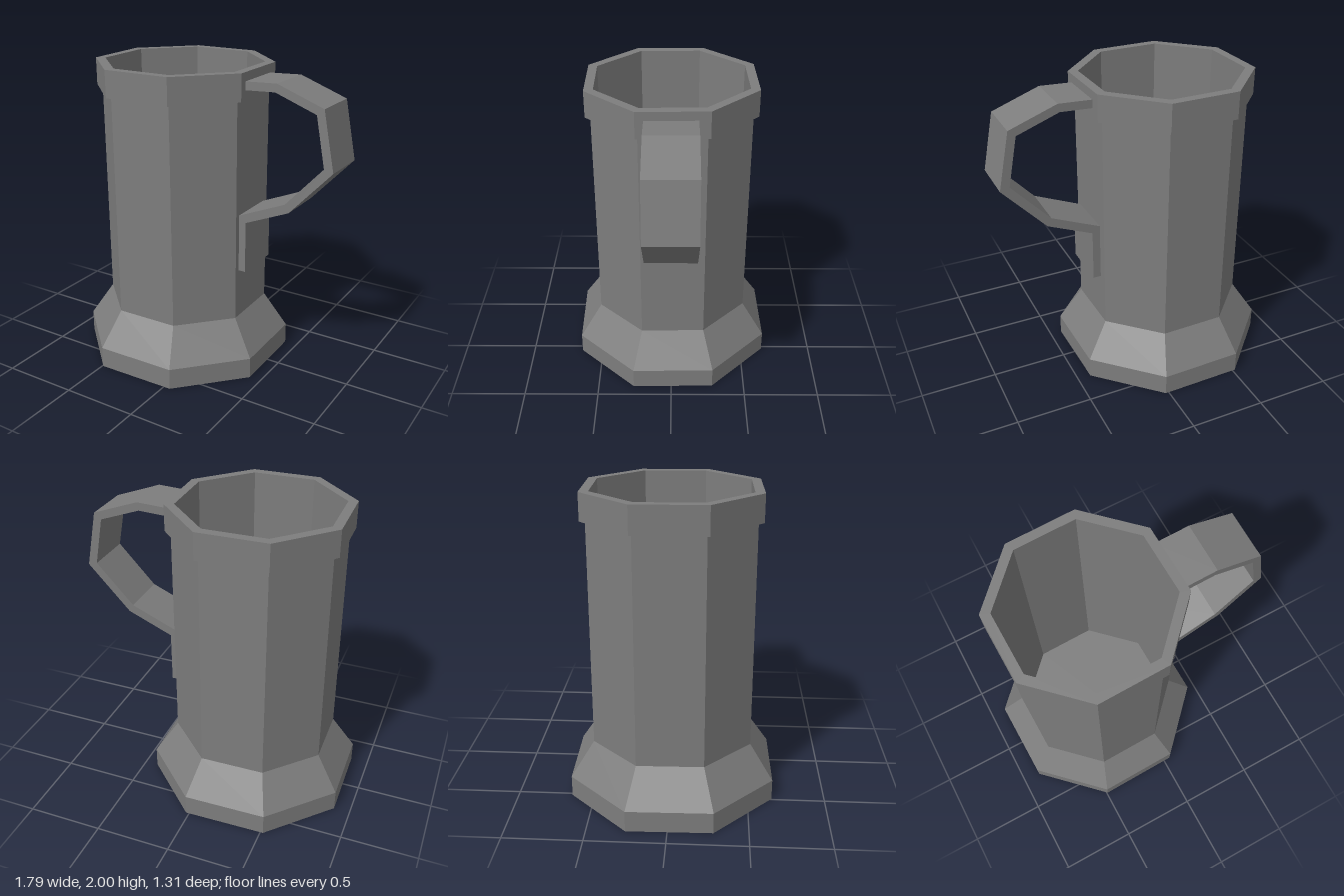
import * as THREE from 'three';

const CENTER_X = -0.236;

export function createModel() {
  const model = new THREE.Group();
  model.name = 'tankard';
  const material = new THREE.MeshStandardMaterial({ color: 0x7d7d7d, flatShading: true });

  // Eight-sided cup: flared foot, straight wall, overhanging rim, hollow inside
  const profile = [
    [0, 0], [0.706, 0], [0.706, 0.14], [0.546, 0.373], [0.546, 1.827],
    [0.582, 1.827], [0.582, 2], [0.519, 2], [0.519, 0.25], [0, 0.25],
  ].map(([r, y]) => new THREE.Vector2(r, y));
  const start = THREE.MathUtils.degToRad(23.6);
  const cup = new THREE.Mesh(new THREE.LatheGeometry(profile, 8, start), material);
  cup.name = 'cup';
  cup.position.x = CENTER_X;
  model.add(cup);

  // Bent flat strap handle: outer edge up from the wall plate, inner edge back down
  const outer = [[0.319, 0.705], [0.319, 1.045], [0.615, 1.17], [0.893, 1.468],
    [0.819, 1.84], [0.513, 1.953], [0.28, 1.943]];
  const inner = [[0.28, 1.89], [0.503, 1.9], [0.773, 1.8], [0.833, 1.485],
    [0.587, 1.22], [0.268, 1.085], [0.268, 0.705]];
  const outline = new THREE.Shape([...outer, ...inner].map(([x, y]) => new THREE.Vector2(x, y)));
  const width = 0.322;
  const strap = new THREE.ExtrudeGeometry(outline, { depth: width, bevelEnabled: false });
  strap.translate(0, 0, -width / 2);
  const handle = new THREE.Mesh(strap, material);
  handle.name = 'handle';
  model.add(handle);

  return model;
}
